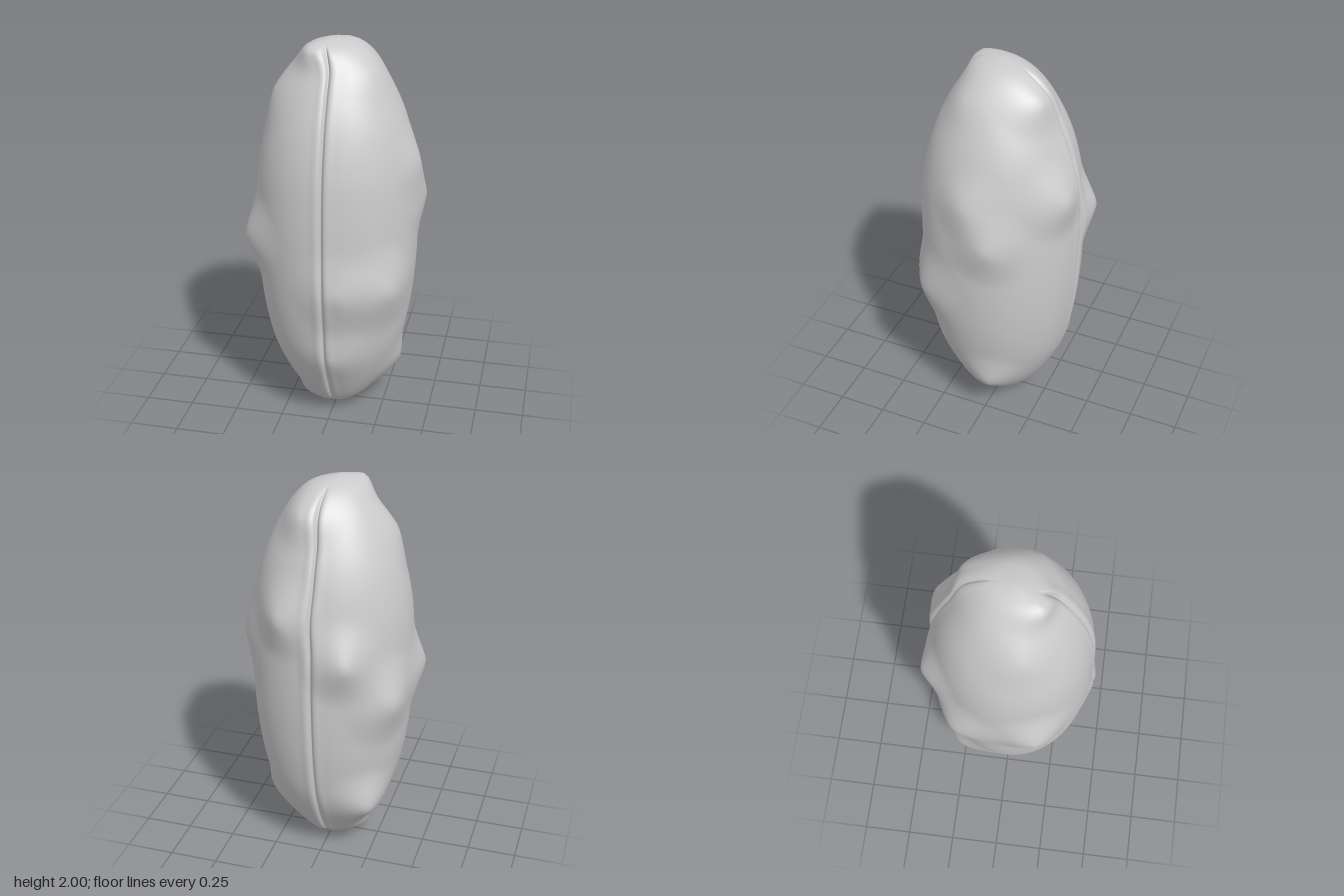
import * as THREE from 'three';
import { mergeVertices } from 'three/addons/utils/BufferGeometryUtils.js';

// Base outline of the nut: radius, height
const OUTLINE = [
  [0, 0], [0.08, 0.02], [0.16, 0.08], [0.225, 0.17], [0.29, 0.29], [0.34, 0.42], [0.378, 0.6],
  [0.4, 0.8], [0.408, 1], [0.405, 1.2], [0.388, 1.4], [0.342, 1.6], [0.275, 1.76],
  [0.195, 1.89], [0.11, 1.97], [0, 2],
];

// Peaks of the lumps: x, y, z, reach
const LUMPS = [
  [-0.445, 1, 0.175, 0.26], [-0.39, 0.95, -0.26, 0.28], [-0.18, 1.2, -0.435, 0.24],
  [0.17, 1.4, -0.405, 0.24], [0.442, 1.2, -0.09, 0.24], [0.42, 1.4, 0.03, 0.22],
  [0.33, 0.8, 0.31, 0.28], [0.33, 0.25, -0.05, 0.24], [-0.27, 0.32, -0.28, 0.26],
  [-0.17, 0.035, 0.02, 0.18], [-0.11, 1.975, 0.15, 0.2], [0.1, 1.88, -0.24, 0.22],
  [0.2, 1.86, 0.12, 0.2], [-0.3, 1.75, 0.08, 0.24], [0.08, 0.8, 0.43, 0.26],
  [0.05, 0.4, 0.355, 0.22],
];

const curve = new THREE.CatmullRomCurve3(OUTLINE.map(([r, y]) => new THREE.Vector3(r, y, 0)));
const profile = curve.getSpacedPoints(72).map((p) => new THREE.Vector2(Math.max(p.x, 0), p.y));
profile[0].x = profile[72].x = 0;

// Base radius at a height
function radiusAt(y) {
  const i = profile.findIndex((p) => p.y >= y);
  if (i < 1) return 0;
  const a = profile[i - 1], b = profile[i];
  return THREE.MathUtils.lerp(a.x, b.x, (y - a.y) / (b.y - a.y));
}

function shellGeometry() {
  const geo = new THREE.LatheGeometry(profile, 128);
  const pos = geo.attributes.position;
  const lumps = LUMPS.map(([x, y, z, reach]) => {
    const s = radiusAt(y) / Math.hypot(x, z);
    const foot = new THREE.Vector3(x * s, y, z * s);
    return { foot, push: new THREE.Vector3(x, y, z).sub(foot), reach };
  });
  const v = new THREE.Vector3(), base = new THREE.Vector3();
  for (let i = 0; i < pos.count; i++) {
    v.fromBufferAttribute(pos, i);
    // Gather the columns towards the seam at front and back
    const r = Math.hypot(v.x, v.z);
    let a = Math.atan2(v.x, v.z);
    a -= 0.42 * Math.sin(2 * a);
    v.set(r * Math.sin(a), v.y, r * Math.cos(a));
    base.copy(v);
    // Pull the surface out to each lump
    for (const { foot, push, reach } of lumps) {
      const t = 1 - base.distanceTo(foot) / reach;
      if (t > 0) v.addScaledVector(push, t * t * (2 - t));
    }
    // Narrow groove where the two halves meet, fading out at the ends
    const fade = THREE.MathUtils.smoothstep(r, 0.07, 0.14);
    const groove = 0.016 * Math.exp(-((base.x / 0.009) ** 2)) * fade;
    const lip = 0.004 * Math.exp(-(((Math.abs(base.x) - 0.03) / 0.018) ** 2)) * fade;
    if (r > 0) {
      const k = 1 + (lip - groove) / r;
      v.x *= k;
      v.z *= k;
    }
    pos.setXYZ(i, v.x, v.y, v.z);
  }
  geo.deleteAttribute('uv');
  geo.deleteAttribute('normal');
  const welded = mergeVertices(geo, 1e-5);
  welded.computeVertexNormals();
  return welded;
}

export function createModel() {
  const group = new THREE.Group();
  group.name = 'nut';
  const shell = new THREE.Mesh(shellGeometry(), new THREE.MeshStandardMaterial({ color: 0xcccccc }));
  shell.name = 'shell';
  group.add(shell);
  return group;
}
